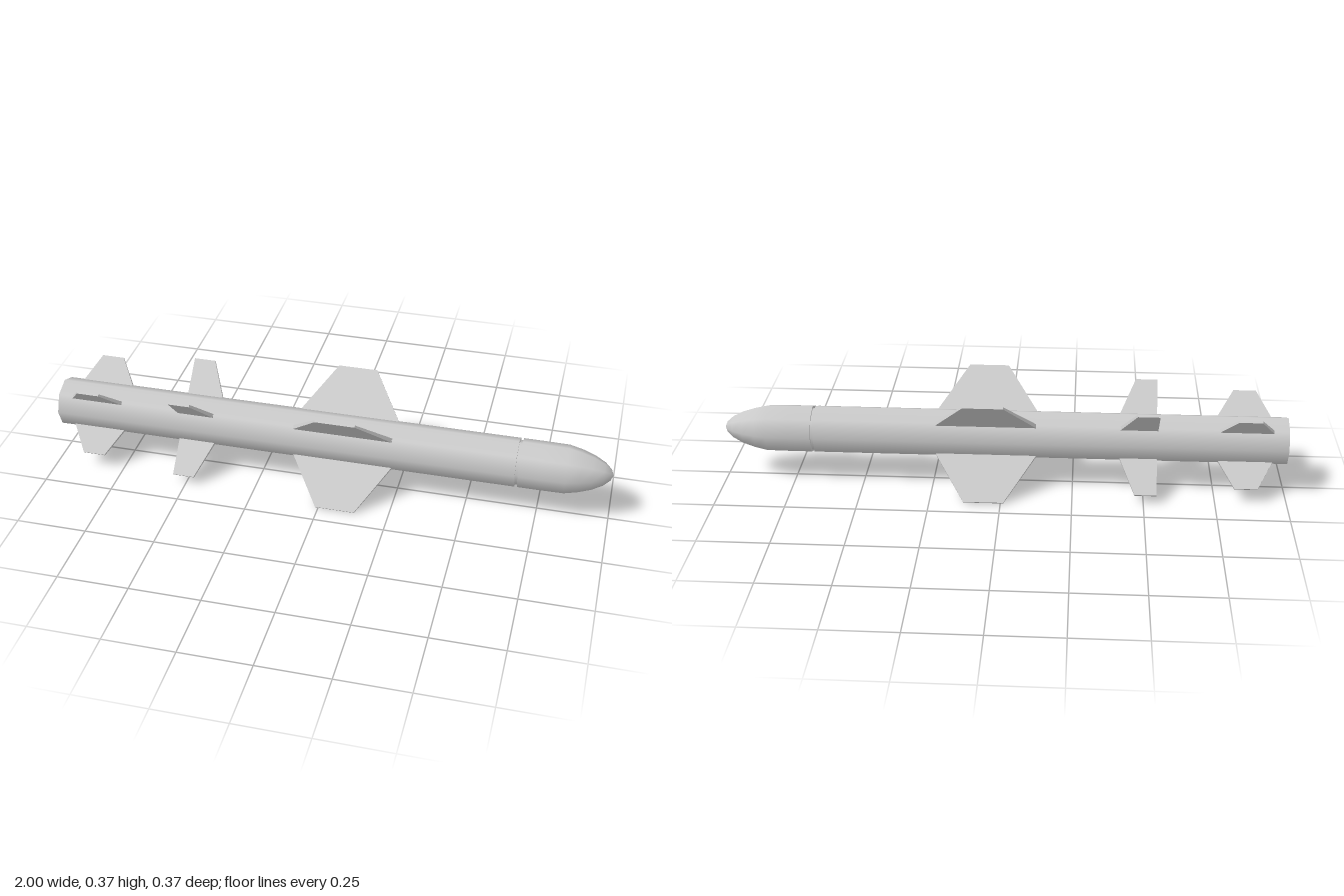
import * as THREE from 'three';

const material = new THREE.MeshStandardMaterial({ color: 0xcccccc });
const RADIUS = 0.087;
const SIDES = 8;

function add(parent, name, geometry) {
  const mesh = new THREE.Mesh(geometry, material);
  mesh.name = name;
  parent.add(mesh);
  return mesh;
}

// Octagonal section lying along x
function section(x0, x1, radius) {
  return new THREE.CylinderGeometry(radius, radius, x1 - x0, SIDES)
    .rotateZ(-Math.PI / 2)
    .translate((x0 + x1) / 2, 0, 0);
}

// Tapered fin plate: root and tip are [rear x, front x], span runs along +y
function fin(root, tip, reach, rootThickness, tipThickness) {
  const base = 0.075;
  const g = new THREE.BoxGeometry(1, 1, 1);
  const p = g.attributes.position;
  for (let i = 0; i < p.count; i++) {
    const atTip = p.getY(i) > 0;
    const chord = atTip ? tip : root;
    const thickness = atTip ? tipThickness : rootThickness;
    p.setXYZ(i, p.getX(i) > 0 ? chord[1] : chord[0], atTip ? reach : base, p.getZ(i) * thickness);
  }
  g.computeVertexNormals();
  return g;
}

export function createModel() {
  const model = new THREE.Group();
  model.name = 'missile';
  const body = new THREE.Group();
  body.name = 'airframe';
  body.position.y = 0.185;
  model.add(body);

  // Main tube and the recessed joint behind the nose
  add(body, 'tube', section(-1, 0.67, RADIUS));
  add(body, 'noseJoint', section(0.66, 0.69, 0.079));

  // Rounded nose with a flat base
  const profile = [
    [0.087, 0.68], [0.087, 0.76], [0.086, 0.84], [0.076, 0.885], [0.061, 0.93],
    [0.041, 0.968], [0.02, 0.991], [0, 1],
  ].map(([r, x]) => new THREE.Vector2(r, x));
  add(body, 'nose', new THREE.LatheGeometry(profile, SIDES).rotateZ(-Math.PI / 2));
  add(body, 'noseBase', new THREE.CircleGeometry(RADIUS, SIDES).rotateY(-Math.PI / 2).translate(0.68, 0, 0));

  // Three sets of four fins in an X layout
  const sets = [
    ['mainWing', fin([-0.125, 0.242], [-0.01, 0.13], 0.259, 0.015, 0.008)],
    ['controlFin', fin([-0.545, -0.41], [-0.545, -0.468], 0.217, 0.014, 0.009)],
    ['tailFin', fin([-0.952, -0.753], [-0.895, -0.815], 0.184, 0.013, 0.008)],
  ];
  for (const [name, geometry] of sets) {
    const ring = new THREE.Group();
    ring.name = name + 'Set';
    for (let i = 0; i < 4; i++) {
      add(ring, name, geometry).rotation.x = Math.PI / 4 + (i * Math.PI) / 2;
    }
    body.add(ring);
  }
  return model;
}
